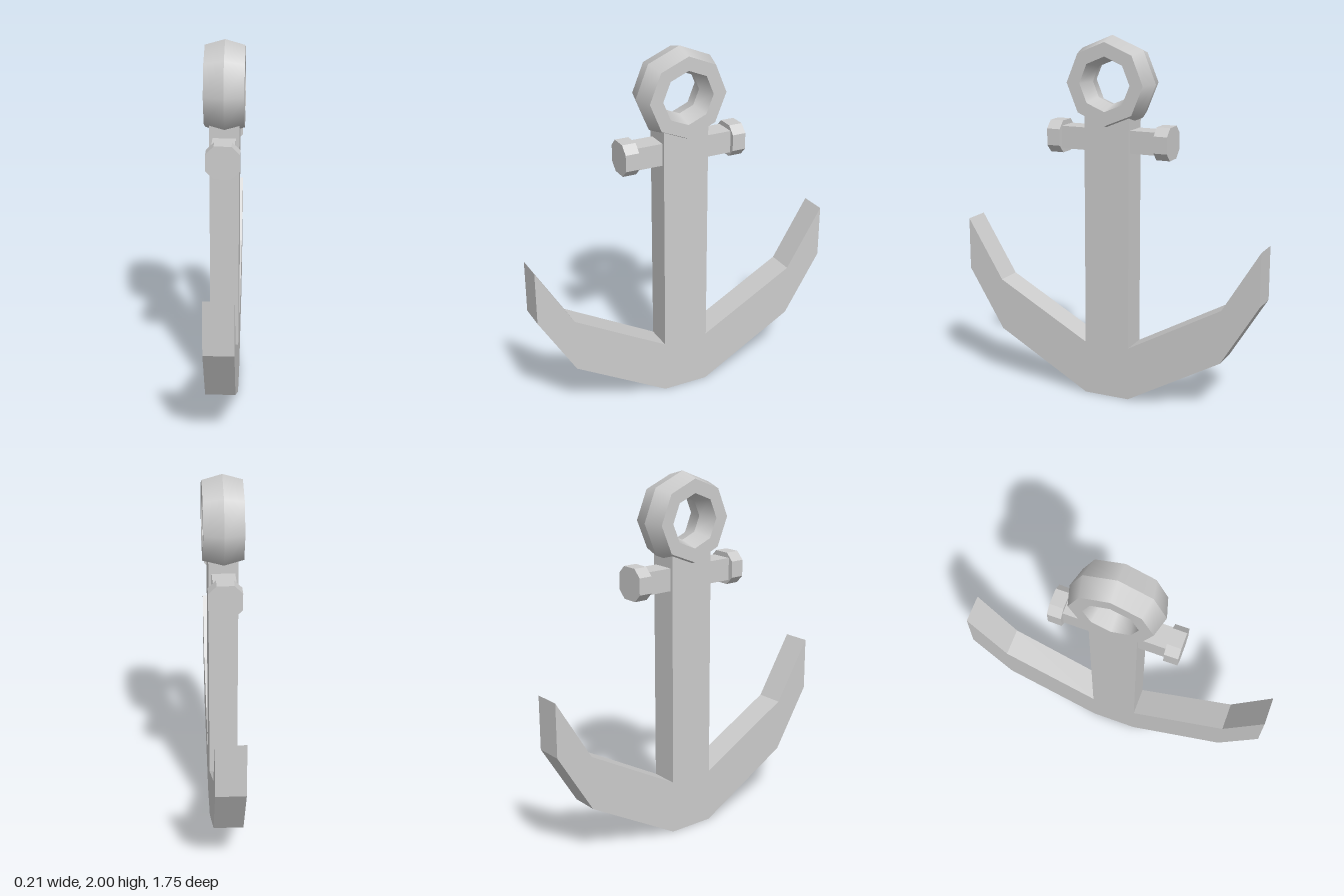
import * as THREE from 'three';

const material = new THREE.MeshStandardMaterial({ color: 0xcccccc });
const flat = new THREE.MeshStandardMaterial({ color: 0xcccccc, flatShading: true });

function part(name, geometry, mat = flat) {
  const mesh = new THREE.Mesh(geometry, mat);
  mesh.name = name;
  return mesh;
}

// Extrudes an outline given as [z, y] points across x, centred on x = 0
function slab(points, depth) {
  const shape = new THREE.Shape(points.map(([z, y]) => new THREE.Vector2(z, y)));
  return new THREE.ExtrudeGeometry(shape, { depth, bevelEnabled: false })
    .translate(0, 0, -depth / 2)
    .rotateY(-Math.PI / 2);
}

export function createModel() {
  const anchor = new THREE.Group();
  anchor.name = 'anchor';

  // Shank and both curved arms in one outline
  const half = [[0.13, 0], [0.665, 0.3], [0.873, 0.64], [0.873, 0.935], [0.665, 0.595], [0.13, 0.3], [0.13, 1.58]];
  const mirrored = half.map(([z, y]) => [-z, y]).reverse();
  anchor.add(part('shankAndArms', slab([...half, ...mirrored], 0.156)));

  // Eight-sided ring with a hexagonal section: smooth around, sharp across
  const ring = new THREE.Group();
  ring.name = 'ring';
  const section = [[0.25, 0], [0.22, 0.105], [0.145, 0.105], [0.115, 0], [0.145, -0.105], [0.22, -0.105]]
    .map(([r, a]) => new THREE.Vector2(r, a));
  section.forEach((p, i) => {
    const band = new THREE.LatheGeometry([p, section[(i + 1) % section.length]], 8).rotateZ(Math.PI / 2);
    ring.add(part('ringBand', band, material));
  });
  ring.position.y = 1.75;
  anchor.add(ring);

  // Crossbar with chamfered end knobs
  const bar = new THREE.Group();
  bar.name = 'crossbar';
  bar.position.y = 1.448;
  bar.add(part('rod', new THREE.BoxGeometry(0.122, 0.122, 0.58)));
  const r = 0.0875, c = 0.045;
  const octagon = new THREE.Shape([[r, -c], [r, c], [c, r], [-c, r], [-r, c], [-r, -c], [-c, -r], [c, -r]]
    .map(([x, y]) => new THREE.Vector2(x, y)));
  for (const side of [1, -1]) {
    const knob = part('knob', new THREE.ExtrudeGeometry(octagon, { depth: 0.076, bevelEnabled: false }).translate(0, 0, -0.038));
    knob.position.z = side * 0.313;
    bar.add(knob);
  }
  anchor.add(bar);

  return anchor;
}
